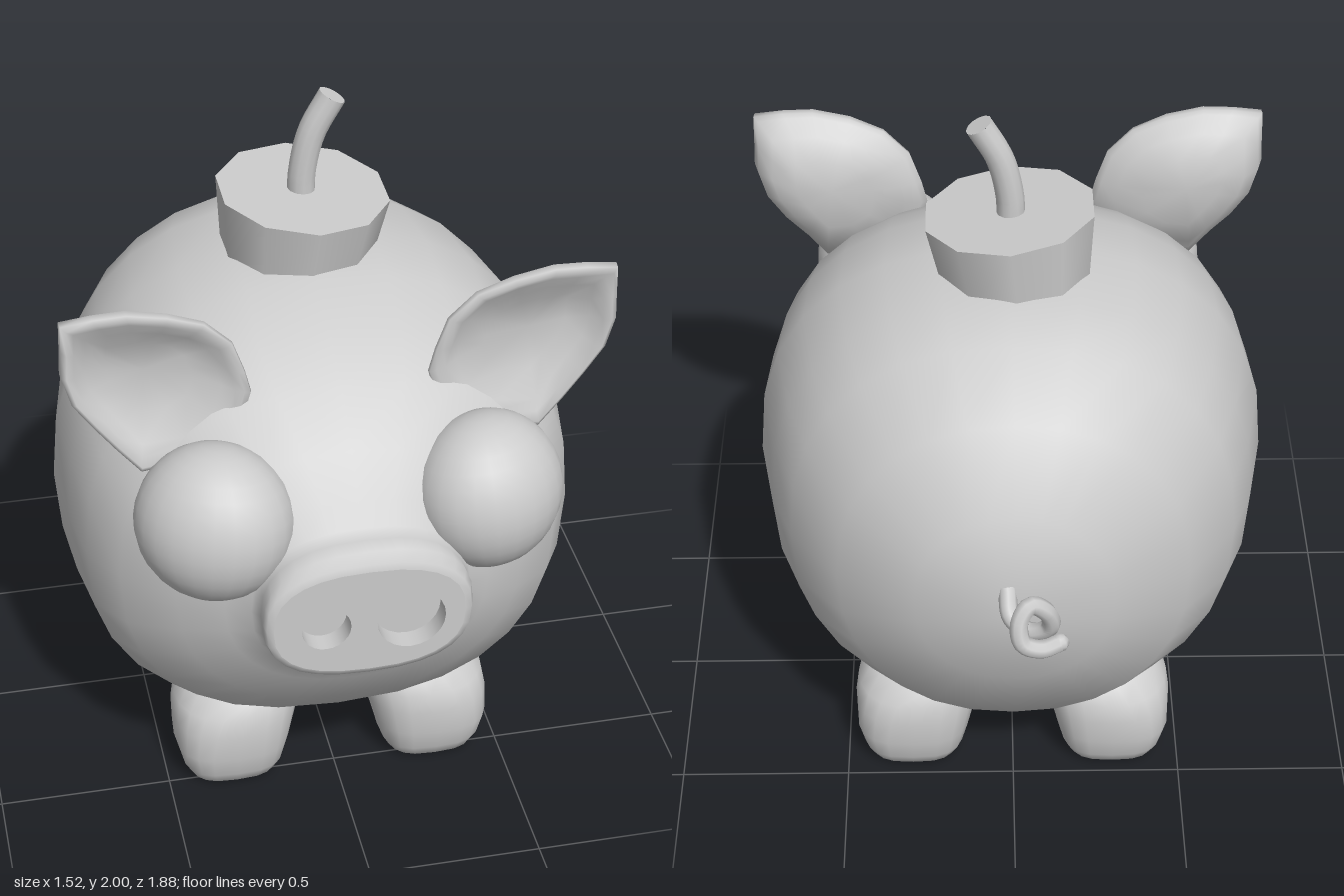
import * as THREE from 'three';

const grey = new THREE.MeshStandardMaterial({ color: 0xcccccc });
const greyDouble = new THREE.MeshStandardMaterial({ color: 0xcccccc, side: THREE.DoubleSide });

const V = (x, y, z) => new THREE.Vector3(x, y, z);

function addMesh(parent, name, geometry, material = grey) {
  const mesh = new THREE.Mesh(geometry, material);
  mesh.name = name;
  parent.add(mesh);
  return mesh;
}

// Points of a rounded-square outline, counter-clockwise
function superEllipse(rx, ry, power, count) {
  return Array.from({ length: count }, (_, i) => {
    const a = (i / count) * Math.PI * 2, c = Math.cos(a), s = Math.sin(a);
    return [
      rx * Math.sign(c) * Math.abs(c) ** (2 / power),
      ry * Math.sign(s) * Math.abs(s) ** (2 / power),
    ];
  });
}

// Smooth skin over rings; startCap and endCap are optional centre points
function loft(rings, startCap, endCap) {
  const n = rings[0].length, points = rings.flat(), index = [];
  for (let r = 0; r < rings.length - 1; r++) {
    for (let j = 0; j < n; j++) {
      const k = (j + 1) % n;
      const a = r * n + j, b = r * n + k, c = b + n, d = a + n;
      index.push(a, b, c, a, c, d);
    }
  }
  const cap = (centre, base, flip) => {
    const m = points.push(centre) - 1;
    for (let j = 0; j < n; j++) {
      const a = base + j, b = base + (j + 1) % n;
      index.push(m, flip ? b : a, flip ? a : b);
    }
  };
  if (startCap) cap(startCap, 0, true);
  if (endCap) cap(endCap, (rings.length - 1) * n, false);
  const geometry = new THREE.BufferGeometry().setFromPoints(points);
  geometry.setIndex(index);
  geometry.computeVertexNormals();
  return geometry;
}

// Body and snout sections: z, half width, bottom y, top y, squareness
const SECTIONS = [
  [-0.69, 0.28, 0.57, 1.15, 2.2], [-0.55, 0.50, 0.30, 1.37, 2.2], [-0.36, 0.64, 0.17, 1.50, 2.25],
  [-0.20, 0.70, 0.125, 1.545, 2.3], [0.04, 0.745, 0.12, 1.56, 2.3], [0.25, 0.73, 0.13, 1.54, 2.3],
  [0.42, 0.70, 0.19, 1.46, 2.4], [0.56, 0.625, 0.27, 1.39, 2.4], [0.70, 0.49, 0.42, 1.27, 2.3],
  [0.78, 0.37, 0.55, 1.16, 2.3], [0.83, 0.305, 0.635, 1.105, 2.4], [0.87, 0.287, 0.67, 1.095, 2.5],
  [0.915, 0.29, 0.685, 1.09, 2.5], [0.935, 0.283, 0.695, 1.06, 2.5], [0.94, 0.265, 0.71, 1.04, 2.5],
];

function addBody(pig) {
  const rings = SECTIONS.map(([z, w, y0, y1, power]) =>
    superEllipse(w, (y1 - y0) / 2, power, 28).map(([x, y]) => V(x, y + (y0 + y1) / 2, z)));
  addMesh(pig, 'body', loft(rings, V(0, 0.86, -0.755)));

  // Flat snout face with two sunken nostrils
  const rim = rings[rings.length - 1];
  const face = new THREE.Shape(rim.map(p => new THREE.Vector2(p.x, p.y)));
  const depth = 0.06;
  for (const [x, r] of [[-0.12, 0.068], [0.115, 0.095]]) {
    const y = 0.865;
    face.holes.push(new THREE.Path().absarc(x, y, r, 0, Math.PI * 2, true));
    const wall = new THREE.CylinderGeometry(r, r, depth, 24, 1, true).rotateX(Math.PI / 2);
    addMesh(pig, 'nostrilWall', wall, greyDouble).position.set(x, y, 0.94 - depth / 2);
    addMesh(pig, 'nostrilFloor', new THREE.CircleGeometry(r, 24)).position.set(x, y, 0.94 - depth);
  }
  addMesh(pig, 'snoutFace', new THREE.ShapeGeometry(face, 12)).position.z = 0.94;
}

// Ear outline for the +x side, and its layers from back to front: scale, z
const EAR = [
  [0.40, 1.20], [0.555, 1.19], [0.62, 1.27], [0.68, 1.35], [0.735, 1.43], [0.76, 1.52], [0.757, 1.60],
  [0.755, 1.68], [0.67, 1.69], [0.58, 1.693], [0.47, 1.67], [0.37, 1.63], [0.295, 1.555], [0.262, 1.46],
  [0.245, 1.39], [0.28, 1.27],
];
const EAR_LAYERS = [
  [0.45, 0.45], [0.75, 0.465], [0.94, 0.50], [1, 0.55], [0.99, 0.575], [0.93, 0.585],
  [0.84, 0.57], [0.72, 0.535], [0.45, 0.515],
];

// The ear thins towards the head, and its back slopes forward at top and bottom
function earPoint(x, y, z) {
  const thickness = THREE.MathUtils.clamp((x - 0.1) / 0.4, 0.3, 1);
  const slope = z < 0.55 ? Math.max(0, y - 1.53, 1.36 - y) * 0.3 : 0;
  return V(x, y, 0.53 + (z - 0.53) * thickness + slope);
}

function earGeometry(side) {
  const cx = 0.53, cy = 1.48;
  const mirror = p => V(side * p.x, p.y, p.z);
  const rings = EAR_LAYERS.map(([s, z]) => {
    const ring = EAR.map(([x, y]) => mirror(earPoint(cx + (x - cx) * s, cy + (y - cy) * s, z)));
    return side > 0 ? ring : ring.reverse();
  });
  return loft(rings, mirror(V(cx, cy, 0.447)), mirror(V(cx, cy, 0.51)));
}

// Leg from sole to hip: y, half size, squareness, lean towards the belly
const LEG = [
  [0, 0.11, 3, 0], [0.012, 0.132, 3, 0], [0.05, 0.152, 3, 0], [0.12, 0.17, 2.9, 0], [0.20, 0.182, 2.6, 0.01],
  [0.26, 0.188, 2.3, 0.025], [0.31, 0.185, 2.1, 0.055], [0.37, 0.16, 2, 0.11], [0.43, 0.12, 2, 0.17],
];

function legGeometry(sideX, sideZ) {
  const rings = LEG.map(([y, r, power, lean]) => superEllipse(r, r * 0.93, power, 20)
    .map(([x, z]) => V(x - sideX * lean, y, -z - sideZ * lean)));
  return loft(rings, V(0, 0, 0), V(-sideX * 0.17, 0.43, -sideZ * 0.17));
}

export function createModel() {
  const pig = new THREE.Group();
  pig.name = 'pig';
  addBody(pig);

  for (const side of [1, -1]) {
    const label = side > 0 ? 'left' : 'right';
    addMesh(pig, label + 'Ear', earGeometry(side));
    addMesh(pig, label + 'FrontLeg', legGeometry(side, 1)).position.set(side * 0.302, 0, 0.425);
    addMesh(pig, label + 'BackLeg', legGeometry(side, -1)).position.set(side * 0.302, 0, -0.345);

    // Slightly flattened eye turned outward and up
    const eyeball = new THREE.SphereGeometry(0.222, 24, 16).scale(1, 1, 0.86);
    const eye = addMesh(pig, label + 'Eye', eyeball);
    eye.position.set(side * 0.38, 1.093, 0.7);
    eye.rotation.set(-0.2, side * 0.48, 0, 'YXZ');
  }

  // Tilted ten-sided cap on the back
  const cap = addMesh(pig, 'cap', new THREE.CylinderGeometry(0.248, 0.218, 0.2, 10));
  cap.position.set(-0.005, 1.598, 0.01);
  cap.rotation.set(0.05, 0, -0.09);

  // Bent fuse with a flat end
  const fusePath = new THREE.CatmullRomCurve3([
    V(0, 1.66, 0.01), V(0.003, 1.75, 0.01), V(0.03, 1.87, 0.01), V(0.088, 1.978, 0.01),
  ]);
  addMesh(pig, 'fuse', new THREE.TubeGeometry(fusePath, 12, 0.04, 12));
  const fuseEnd = addMesh(pig, 'fuseEnd', new THREE.CircleGeometry(0.04, 12));
  fuseEnd.position.copy(fusePath.getPoint(1));
  fuseEnd.quaternion.setFromUnitVectors(V(0, 0, 1), fusePath.getTangent(1));

  // Curly tail with a rounded tip
  const tailPath = new THREE.CatmullRomCurve3([
    V(0.02, 0.94, -0.72), V(0.01, 0.88, -0.775), V(-0.04, 0.86, -0.81), V(-0.095, 0.90, -0.835),
    V(-0.085, 0.97, -0.855), V(-0.04, 1.008, -0.87), V(-0.01, 0.97, -0.895), V(-0.02, 0.91, -0.915),
    V(-0.07, 0.89, -0.915), V(-0.12, 0.90, -0.90),
  ]);
  addMesh(pig, 'tail', new THREE.TubeGeometry(tailPath, 48, 0.026, 8));
  addMesh(pig, 'tailTip', new THREE.SphereGeometry(0.026, 8, 6)).position.copy(tailPath.getPoint(1));

  return pig;
}
